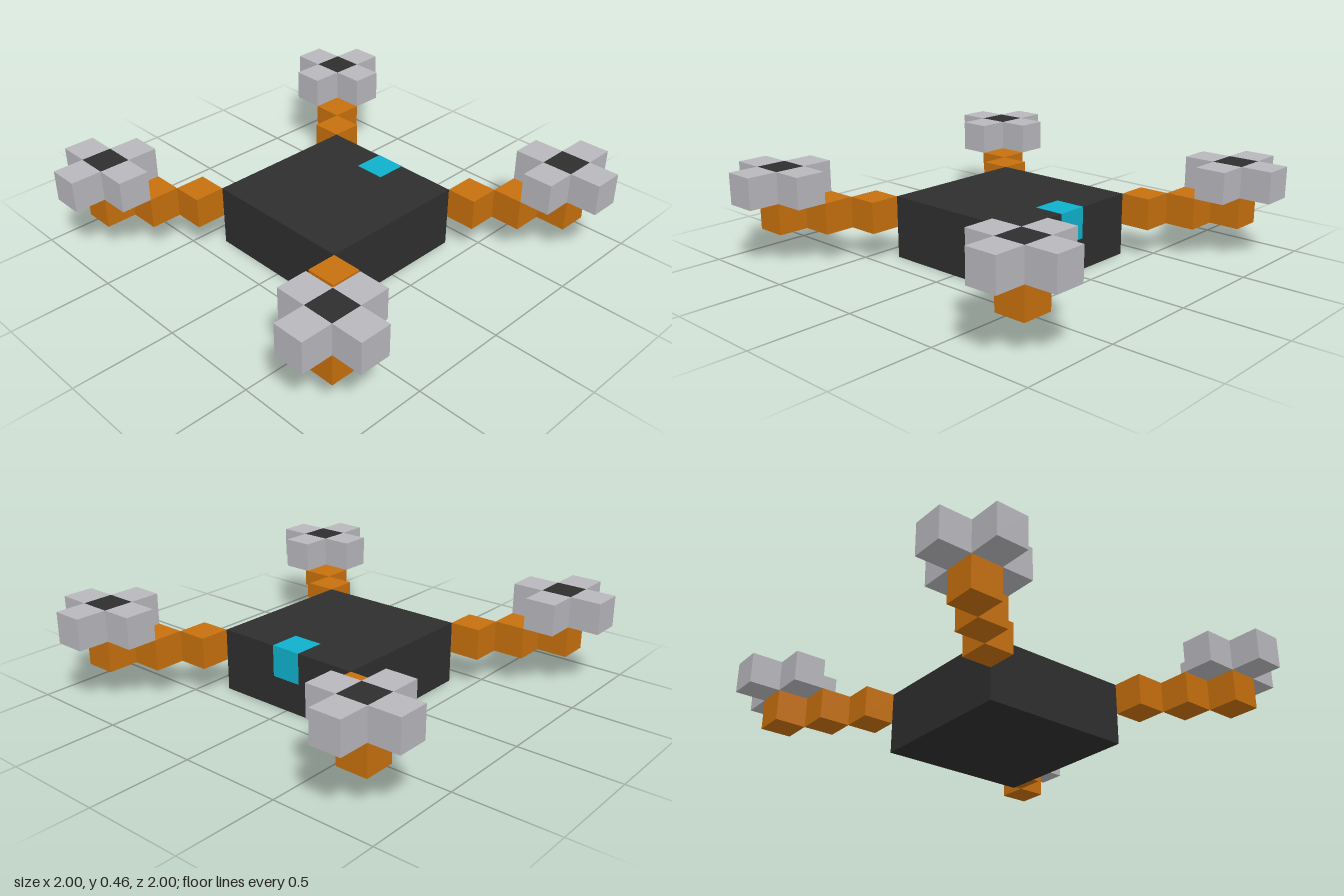
import * as THREE from 'three';

const U = 2 / 13; // one block

export function createModel() {
  const model = new THREE.Group();
  model.name = 'drone';

  const mat = (name, color) => {
    const m = new THREE.MeshStandardMaterial({ color });
    m.name = name;
    return m;
  };
  const dark = mat('charcoal', 0x2e2e2e);
  const orange = mat('orange', 0xc6700d);
  const grey = mat('light grey', 0xb8b7bc);
  const cyan = mat('cyan', 0x0fb0cb);

  // Adds a box; sizes and centre are counted in blocks
  const block = (parent, name, material, size, centre) => {
    const geometry = new THREE.BoxGeometry(...size.map((v) => v * U));
    const mesh = new THREE.Mesh(geometry, material);
    mesh.name = name;
    mesh.position.set(...centre).multiplyScalar(U);
    parent.add(mesh);
  };
  const cube = [1, 1, 1];

  // Body, with a lamp let into the upper rear edge and barely proud of it
  block(model, 'body', dark, [5, 2, 5], [0, 1, 0]);
  block(model, 'rearLamp', cyan, cube, [0, 1.51, -2.01]);

  // Four diagonal arms, each with a cross-shaped rotor
  for (const sx of [-1, 1]) {
    for (const sz of [-1, 1]) {
      const arm = new THREE.Group();
      arm.name = (sz > 0 ? 'front' : 'back') + (sx > 0 ? 'Left' : 'Right') + 'Arm';
      for (const i of [3, 4, 5]) {
        block(arm, 'armSegment', orange, cube, [sx * i, 1.5, sz * i]);
      }
      block(arm, 'rotorHub', dark, cube, [sx * 5, 2.5, sz * 5]);
      for (const [dx, dz] of [[1, 0], [-1, 0], [0, 1], [0, -1]]) {
        block(arm, 'rotorBlade', grey, cube, [sx * 5 + dx, 2.5, sz * 5 + dz]);
      }
      model.add(arm);
    }
  }
  return model;
}
